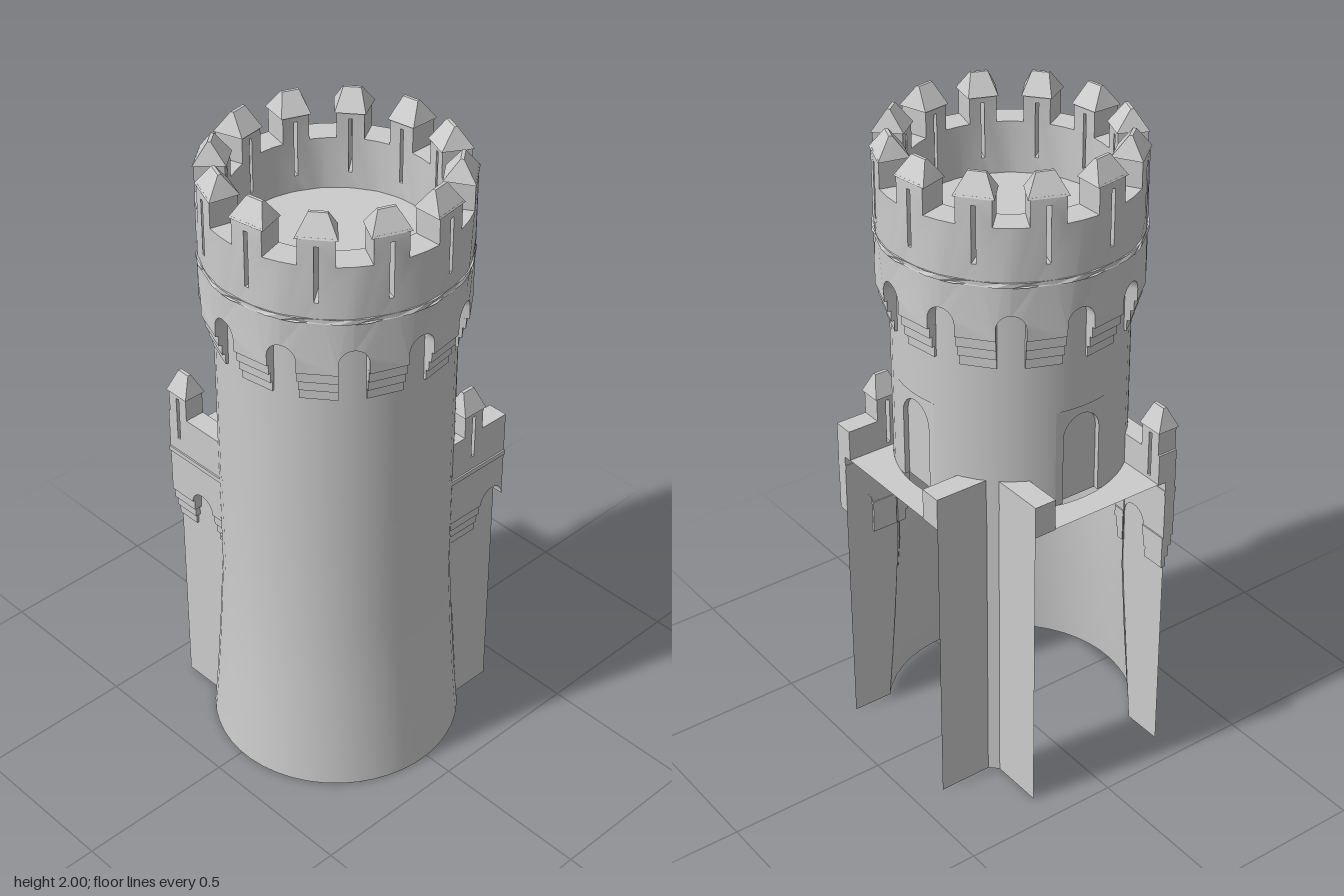
import * as THREE from 'three';
import { mergeGeometries, toCreasedNormals } from 'three/addons/utils/BufferGeometryUtils.js';

const PI = Math.PI;
const DEG = PI / 180;
const R = 0.345;          // tower body radius
const BAYS = 12;          // merlons around the crown
const HALF = 15 * DEG;    // half a bay
const SOLID = 8.65 * DEG; // half the solid part of a bay
const material = new THREE.MeshStandardMaterial({ color: 0xcccccc });
const twoSided = new THREE.MeshStandardMaterial({ color: 0xcccccc, side: THREE.DoubleSide });

function add(parent, name, geometry, mat = material) {
  const mesh = new THREE.Mesh(geometry, mat);
  mesh.name = name;
  parent.add(mesh);
  return mesh;
}

const polygon = (pts) => new THREE.Shape(pts.map(([x, y]) => new THREE.Vector2(x, y)));
const rect = (x0, y0, x1, y1) => polygon([[x0, y0], [x1, y0], [x1, y1], [x0, y1]]);

function extrude(shape, z0, z1) {
  return new THREE.ExtrudeGeometry(shape, { depth: z1 - z0, bevelEnabled: false, curveSegments: 6 }).translate(0, 0, z0);
}

function box(x0, y0, z0, x1, y1, z1) {
  return new THREE.BoxGeometry(x1 - x0, y1 - y0, z1 - z0).translate((x0 + x1) / 2, (y0 + y1) / 2, (z0 + z1) / 2);
}

// Box whose top is drawn in to a short ridge
function hipCap(w, h, d, topW, topD) {
  const g = new THREE.BoxGeometry(w, h, d).toNonIndexed();
  const p = g.attributes.position;
  for (let i = 0; i < p.count; i++) {
    if (p.getY(i) > 0) p.setXYZ(i, p.getX(i) * topW, h / 2, p.getZ(i) * topD);
  }
  g.computeVertexNormals();
  return g;
}

// Wraps (angle, height, radius) onto the tower and repeats it for every bay
function ringOfBays(geometry) {
  const source = geometry.index ? geometry.toNonIndexed() : geometry;
  const copies = [];
  for (let k = 0; k < BAYS; k++) {
    const g = source.clone();
    const p = g.attributes.position;
    for (let i = 0; i < p.count; i++) {
      const a = p.getX(i) + 8.6 * DEG + k * 2 * HALF;
      const r = p.getZ(i);
      p.setXYZ(i, r * Math.cos(a), p.getY(i), -r * Math.sin(a));
    }
    copies.push(g);
  }
  return toCreasedNormals(mergeGeometries(copies), 0.5);
}

function lathe(points, startDeg, sweepDeg) {
  const pts = points.map(([r, y]) => new THREE.Vector2(r, y));
  return new THREE.LatheGeometry(pts, Math.max(3, Math.round(sweepDeg / 7.5)), startDeg * DEG, sweepDeg * DEG);
}

function buildTower() {
  const tower = new THREE.Group();
  tower.name = 'tower';
  tower.position.set(-0.02, 0, 0.02);

  // Flared base, open on the side enclosed by the curtain walls
  add(tower, 'lowerShell', lathe([[0.385, 0], [0.372, 0.15], [0.358, 0.35], [R, 0.58], [R, 0.955]], -140, 190), twoSided);
  // Shaft, interrupted by the two flat doorways
  add(tower, 'shaftBetweenDoors', lathe([[R, 0.95], [R, 1.26]], 105.1, 59.8), twoSided);
  add(tower, 'shaftOuter', lathe([[R, 0.95], [R, 1.26]], 195.1, 239.8), twoSided);
  add(tower, 'upperShaft', lathe([[R, 1.26], [R, 1.7]], 0, 360), twoSided);
  add(tower, 'doorLintelLedge', new THREE.RingGeometry(0.3, R, 48).rotateX(PI / 2).translate(0, 1.26, 0));
  add(tower, 'roofFloor', new THREE.CircleGeometry(R, 24).rotateX(-PI / 2).translate(0, 1.7, 0));

  // Doorways
  for (const turn of [PI / 2, PI]) {
    const door = new THREE.Group();
    door.name = 'doorway';
    door.rotation.y = turn;
    const s = new THREE.Shape();
    s.moveTo(-0.09, 0.95);
    s.lineTo(-0.063, 0.95);
    s.lineTo(-0.063, 1.165);
    s.absarc(0, 1.165, 0.063, PI, 0, true);
    s.lineTo(0.063, 0.95);
    s.lineTo(0.09, 0.95);
    s.lineTo(0.09, 1.26);
    s.lineTo(-0.09, 1.26);
    add(door, 'doorSurround', toCreasedNormals(extrude(s, 0.316, 0.333), 0.5));
    add(door, 'door', new THREE.PlaneGeometry(0.14, 0.3).translate(0, 1.1, 0.317));
    tower.add(door);
  }

  // Crown wall: half arches below, merlon with arrow slit above
  const bay = new THREE.Shape();
  const arch = HALF - SOLID;
  const m = 7.6 * DEG;
  bay.moveTo(-SOLID, 1.52);
  bay.lineTo(SOLID, 1.52);
  bay.absellipse(HALF, 1.555, arch, 0.045, PI, PI / 2, true);
  bay.lineTo(HALF, 1.86);
  bay.lineTo(m, 1.86);
  bay.lineTo(m, 1.945);
  bay.lineTo(-m, 1.945);
  bay.lineTo(-m, 1.86);
  bay.lineTo(-HALF, 1.86);
  bay.absellipse(-HALF, 1.555, arch, 0.045, PI / 2, 0, true);
  bay.holes.push(rect(-0.017, 1.75, 0.017, 1.92));
  add(tower, 'crownWall', ringOfBays(extrude(bay, 0.297, 0.382)));

  // String course
  const band = polygon([[-HALF, 1.685], [-SOLID, 1.685], [SOLID, 1.685], [HALF, 1.685],
    [HALF, 1.7], [SOLID, 1.7], [-SOLID, 1.7], [-HALF, 1.7]]);
  add(tower, 'crownStringCourse', ringOfBays(extrude(band, 0.36, 0.386)));

  // Stepped corbels
  for (let i = 0; i < 3; i++) {
    const y = 1.42 + i * 0.0333;
    const step = rect(-SOLID, y, SOLID, y + 0.0333);
    add(tower, 'crownCorbelStep', ringOfBays(extrude(step, 0.33, 0.353 + i * 0.01)));
  }

  // Hipped merlon caps
  const cap = hipCap(2 * SOLID, 0.06, 0.093, 0.5, 0.1).translate(0, 1.97, 0.3395);
  add(tower, 'merlonCaps', ringOfBays(cap));
  return tower;
}

// Curtain wall stub running to +x; merlonX and archX set the rhythm of its parapet
function buildCurtainWall(name, merlonX, archX) {
  const wall = new THREE.Group();
  wall.name = name;
  const end = 0.405, r = 0.045;

  // Outer face under the overhang
  add(wall, 'outerFace', new THREE.ShapeGeometry(polygon([[0.275, 0], [end, 0], [end, 0.95], [0.22, 0.95], [0.22, 0.58]]))
    .translate(0, 0, 0.265), twoSided);

  // Overhanging band with arch
  const s = new THREE.Shape();
  s.moveTo(0.18, 0.755);
  s.lineTo(archX - r, 0.755);
  s.absarc(archX, 0.755, r, PI, 0, true);
  if (archX + r < end - 0.01) s.lineTo(end, 0.755);
  s.lineTo(end, 0.955);
  s.lineTo(0.18, 0.955);
  add(wall, 'overhang', toCreasedNormals(extrude(s, 0.262, 0.298), 0.5));

  // Corbel steps either side of the arch
  for (const [x0, x1] of [[0.185, archX - r], [archX + r, end]]) {
    if (x1 - x0 < 0.01) continue;
    for (let i = 0; i < 3; i++) {
      const y = 0.65 + i * 0.035;
      add(wall, 'corbelStep', box(x0 + (2 - i) * 0.008, y, 0.258, x1, y + 0.035, 0.273 + i * 0.009));
    }
  }
  add(wall, 'stringCourse', box(0.175, 0.905, 0.26, end, 0.92, 0.303));

  // Parapet with slit merlon and cap
  const m = 0.037;
  const p = polygon([[0.18, 0.95], [end, 0.95], [end, 1.05], [merlonX + m, 1.05], [merlonX + m, 1.13],
    [merlonX - m, 1.13], [merlonX - m, 1.05], [0.18, 1.05]]);
  p.holes.push(rect(merlonX - 0.006, 0.965, merlonX + 0.006, 1.11));
  add(wall, 'parapet', extrude(p, 0.234, 0.298));
  add(wall, 'merlonCap', hipCap(0.086, 0.065, 0.074, 0.5, 0.15).translate(merlonX, 1.158, 0.266));

  // Wall walk, fitted round the tower
  const deck = new THREE.Shape();
  deck.moveTo(end, 0.265);
  deck.lineTo(end, -0.21);
  deck.lineTo(0.235, -0.21);
  deck.absarc(-0.02, 0.02, R, -42 * DEG, 45 * DEG, false);
  add(wall, 'wallWalk', new THREE.ShapeGeometry(deck, 16).rotateX(PI / 2).translate(0, 0.953, 0), twoSided);

  // Plain inner-corner wall and its low parapet
  add(wall, 'plainFace', new THREE.PlaneGeometry(0.17, 0.955).rotateY(PI).translate(0.32, 0.4775, -0.21), twoSided);
  add(wall, 'plainParapet', box(0.21, 0.95, -0.21, end, 1.05, -0.14));
  return wall;
}

export function createModel() {
  const model = new THREE.Group();
  model.name = 'castleCornerTower';
  model.add(buildTower());

  model.add(buildCurtainWall('sideCurtainWall', 0.268, 0.36));

  // Second stub, reflected across the tower's diagonal
  const rear = buildCurtainWall('rearCurtainWall', 0.362, 0.268);
  rear.scale.z = -1;
  rear.rotation.y = PI / 2;
  model.add(rear);

  // Narrow chamfer joining the two plain faces
  const chamfer = add(model, 'cornerChamfer', new THREE.PlaneGeometry(0.0354, 1.05), twoSided);
  chamfer.position.set(0.2225, 0.525, -0.2225);
  chamfer.rotation.y = 3 * PI / 4;
  return model;
}
